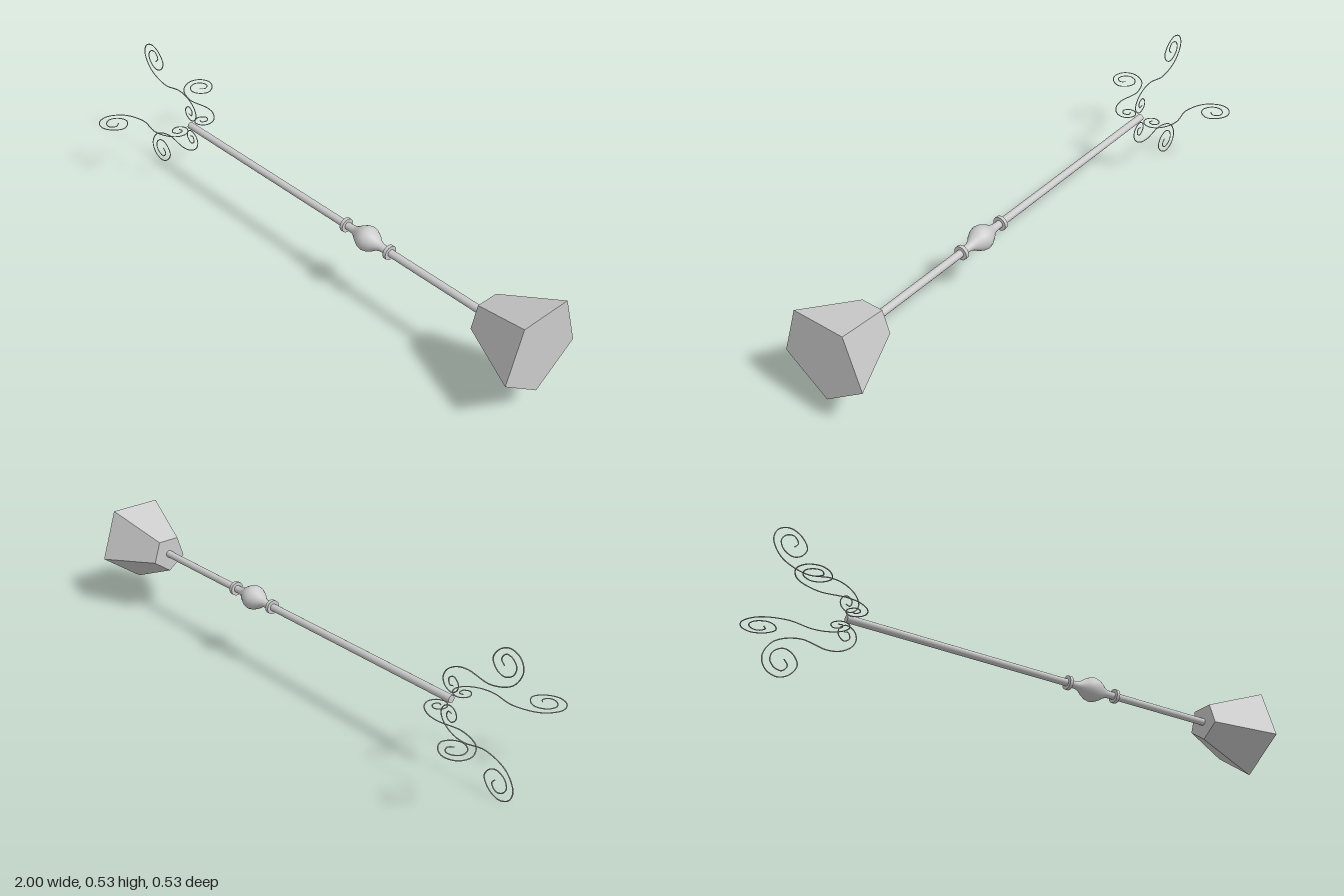
import * as THREE from 'three';

export function createModel() {
  const mat = new THREE.MeshStandardMaterial({ color: 0xcccccc });
  const flat = new THREE.MeshStandardMaterial({ color: 0xcccccc, flatShading: true });

  // Everything is built along local +y, then laid along +x
  const mace = new THREE.Group();
  mace.name = 'mace';
  mace.rotation.z = -Math.PI / 2;
  mace.position.y = 0.2625;
  const add = (name, geometry, along = 0, material = mat) => {
    const mesh = new THREE.Mesh(geometry, material);
    mesh.name = name;
    mesh.position.y = along;
    mace.add(mesh);
  };

  // Shaft
  add('shaft', new THREE.CylinderGeometry(0.0135, 0.0135, 1.51, 16), 0.025);

  // Pentagonal head, one corner pointing down
  add('head', new THREE.CylinderGeometry(0.168, 0.071, 0.224, 5, 1, false, Math.PI / 2), 0.888, flat);

  // Turned bulb with a collar on each side
  const bulb = [[0.0135, -0.085], [0.015, -0.065], [0.021, -0.05], [0.033, -0.033], [0.042, -0.015], [0.045, 0],
    [0.042, 0.015], [0.033, 0.033], [0.021, 0.05], [0.015, 0.065], [0.0135, 0.085]];
  add('bulb', new THREE.LatheGeometry(bulb.map(([r, y]) => new THREE.Vector2(r, y)), 24), 0.247);
  for (const x of [0.143, 0.351]) add('collar', new THREE.CylinderGeometry(0.026, 0.026, 0.013, 16), x);

  // Wire scroll: large spiral, S-bend, small spiral; [along, out from axis]
  const scroll = [
    [-0.927, 0.197], [-0.914, 0.215], [-0.93, 0.237], [-0.955, 0.233], [-0.972, 0.21], [-0.963, 0.18],
    [-0.93, 0.162], [-0.9, 0.173], [-0.882, 0.205], [-0.904, 0.243], [-0.945, 0.261], [-0.984, 0.245],
    [-0.998, 0.205], [-0.965, 0.147], [-0.88, 0.115], [-0.79, 0.128], [-0.743, 0.12], [-0.703, 0.093],
    [-0.69, 0.062], [-0.7, 0.036], [-0.727, 0.024], [-0.75, 0.038], [-0.754, 0.062], [-0.734, 0.081],
    [-0.714, 0.068], [-0.72, 0.047], [-0.735, 0.05]];
  const path = new THREE.CatmullRomCurve3(scroll.map(([a, r]) => new THREE.Vector3(r, a, 0)));
  const wire = new THREE.TubeGeometry(path, 200, 0.002, 6);
  for (let i = 0; i < 4; i++) {
    const mesh = new THREE.Mesh(wire, mat);
    mesh.name = 'scroll';
    mesh.rotation.y = i * Math.PI / 2;
    mace.add(mesh);
  }

  const model = new THREE.Group();
  model.add(mace);
  return model;
}
